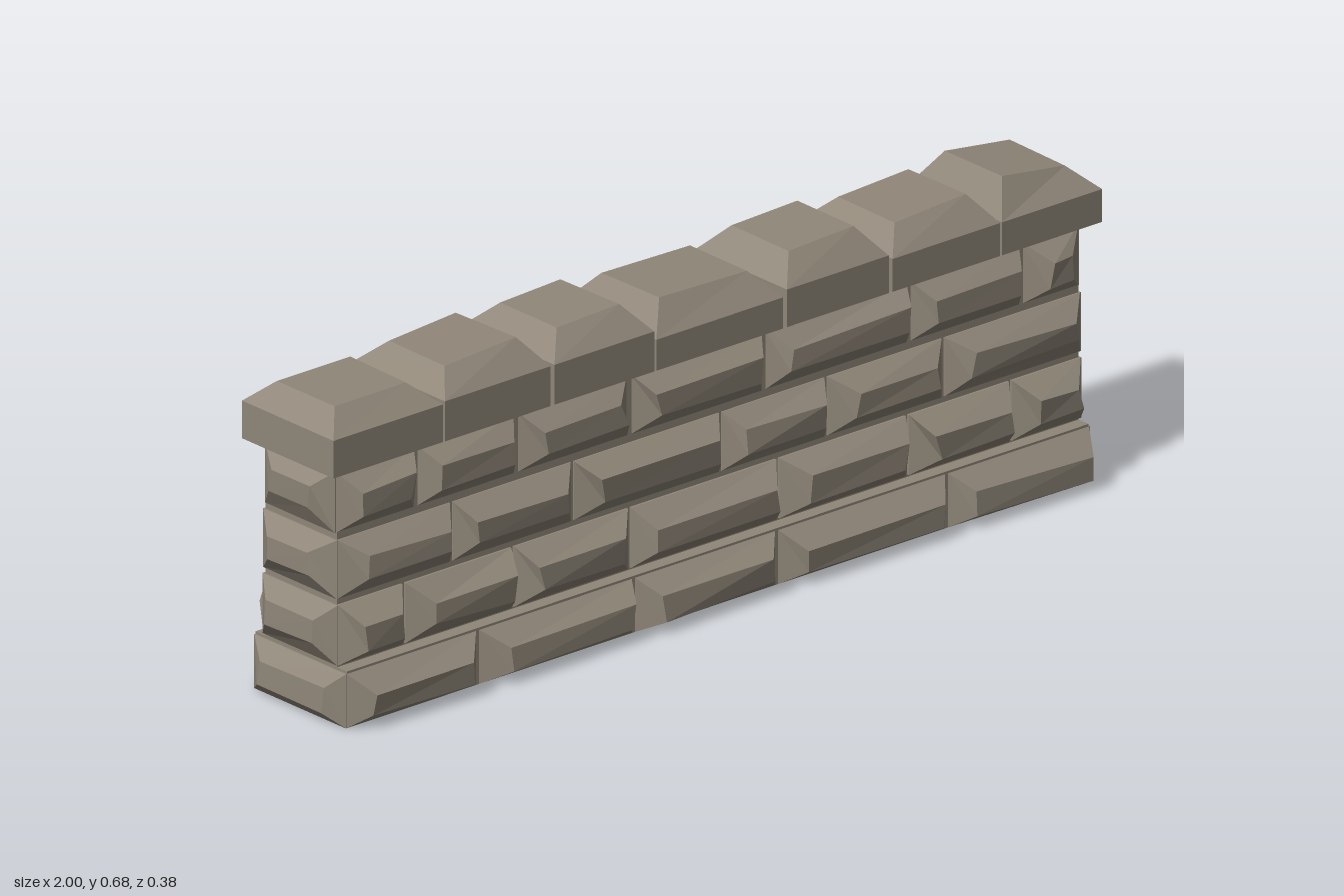
import * as THREE from 'three';

const stoneMat = new THREE.MeshStandardMaterial({ color: 0x8f8678, flatShading: true });
stoneMat.name = 'warm grey stone';

// Small seeded generator for hewn irregularity
let seed = 11;
const jitter = (a) => {
  seed = (seed * 16807) % 2147483647;
  return (seed / 2147483647 - 0.5) * 2 * a;
};

// Four-cornered ring, counter-clockwise seen from +z
const ring = (x0, x1, y0, y1, z, j = 0, jz = 0) =>
  [[x0, y0], [x1, y0], [x1, y1], [x0, y1]].map(([x, y]) =>
    [x + jitter(j), y + jitter(j * 0.4), z + jitter(jz)]);

// Closed faceted block lofted through rings along +z
function loft(rings, name) {
  const pos = [];
  const quad = (a, b, c, d) => pos.push(...a, ...b, ...c, ...a, ...c, ...d);
  for (let r = 0; r + 1 < rings.length; r++) {
    for (let i = 0; i < 4; i++) {
      const k = (i + 1) % 4;
      quad(rings[r][i], rings[r][k], rings[r + 1][k], rings[r + 1][i]);
    }
  }
  const first = rings[0], last = rings[rings.length - 1];
  quad(last[0], last[1], last[2], last[3]);
  quad(first[3], first[2], first[1], first[0]);
  const geo = new THREE.BufferGeometry();
  geo.setAttribute('position', new THREE.Float32BufferAttribute(pos, 3));
  geo.computeVertexNormals();
  const mesh = new THREE.Mesh(geo, stoneMat);
  mesh.name = name;
  return mesh;
}

// Courses: height range, protruding face range, wall half depth, stone reach, joints
const courses = [
  { y: [0, 0.115], f: [0.028, 0.078], d: 0.137, out: 0.188, end: 0.095,
    joints: [-0.97, -0.625, -0.22, 0.153, 0.595, 0.97],
    backJoints: [-0.97, -0.6, -0.2, 0.21, 0.61, 0.97] },
  { y: [0.125, 0.253], f: [0.165, 0.215], d: 0.112, out: 0.163, end: 0.065,
    joints: [-0.97, -0.795, -0.512, -0.208, 0.178, 0.515, 0.783, 0.97] },
  { y: [0.266, 0.391], f: [0.307, 0.353], d: 0.11, out: 0.156, end: 0.062,
    joints: [-0.97, -0.67, -0.355, 0.03, 0.305, 0.61, 0.97] },
  { y: [0.405, 0.535], f: [0.446, 0.497], d: 0.105, out: 0.153, end: 0.06,
    joints: [-0.97, -0.76, -0.5, -0.205, 0.145, 0.522, 0.815, 0.97] },
];

// Coping stones: left, right, shoulder height, top heights at each side
const caps = [
  [-1, -0.715, 0.62, 0.665, 0.665], [-0.71, -0.435, 0.625, 0.672, 0.683],
  [-0.425, -0.165, 0.625, 0.674, 0.68], [-0.16, 0.17, 0.606, 0.666, 0.66],
  [0.18, 0.445, 0.62, 0.673, 0.68], [0.455, 0.735, 0.61, 0.658, 0.668],
  [0.74, 1, 0.61, 0.68, 0.658],
];

function box(name, w, y0, y1, d) {
  const mesh = new THREE.Mesh(new THREE.BoxGeometry(w, y1 - y0, d), stoneMat);
  mesh.position.y = (y0 + y1) / 2;
  mesh.name = name;
  return mesh;
}

export function createModel() {
  seed = 11;
  const wall = new THREE.Group();
  wall.name = 'stoneWall';

  // Mortar core behind the stones
  wall.add(box('coreFoot', 1.93, 0, 0.12, 0.274));
  wall.add(box('coreBody', 1.93, 0.12, 0.545, 0.214));

  // Face stones on both long sides
  for (const side of ['front', 'back']) {
    const group = new THREE.Group();
    group.name = side + 'Stones';
    if (side === 'back') group.rotation.y = Math.PI;
    for (const c of courses) {
      const joints = side === 'back' && c.backJoints ? c.backJoints : c.joints;
      for (let i = 0; i + 1 < joints.length; i++) {
        const x0 = joints[i] + 0.004, x1 = joints[i + 1] - 0.004;
        group.add(loft([
          ring(x0, x1, c.y[0], c.y[1], c.d - 0.03),
          ring(x0, x1, c.y[0], c.y[1], c.d),
          ring(x0 + 0.038, x1 - 0.038, c.f[0], c.f[1], c.out - 0.004, 0.012, 0.005),
        ], side + 'Stone'));
      }
    }
    wall.add(group);
  }

  // Full-depth stones on the two ends
  for (const s of [1, -1]) {
    const group = new THREE.Group();
    group.name = s > 0 ? 'leftEndStones' : 'rightEndStones';
    group.rotation.y = s * Math.PI / 2;
    for (const c of courses) {
      group.add(loft([
        ring(-c.d, c.d, c.y[0], c.y[1], 0.94),
        ring(-c.d, c.d, c.y[0], c.y[1], 0.968),
        ring(-c.end, c.end, c.f[0], c.f[1], 0.996, 0.01, 0.003),
      ], 'endStone'));
    }
    wall.add(group);
  }

  // Bevelled coping, lofted upwards
  const coping = new THREE.Group();
  coping.name = 'coping';
  coping.rotation.x = -Math.PI / 2;
  for (const [x0, x1, shoulder, hl, hr] of caps) {
    const top = ring(x0 + 0.048, x1 - 0.048, -0.085, 0.085, 0, 0.005);
    top.forEach((p, i) => { p[2] = i === 0 || i === 3 ? hl : hr; });
    coping.add(loft([
      ring(x0, x1, -0.137, 0.137, 0.54),
      ring(x0, x1, -0.137, 0.137, shoulder),
      top,
    ], 'copingStone'));
  }
  wall.add(coping);
  return wall;
}
